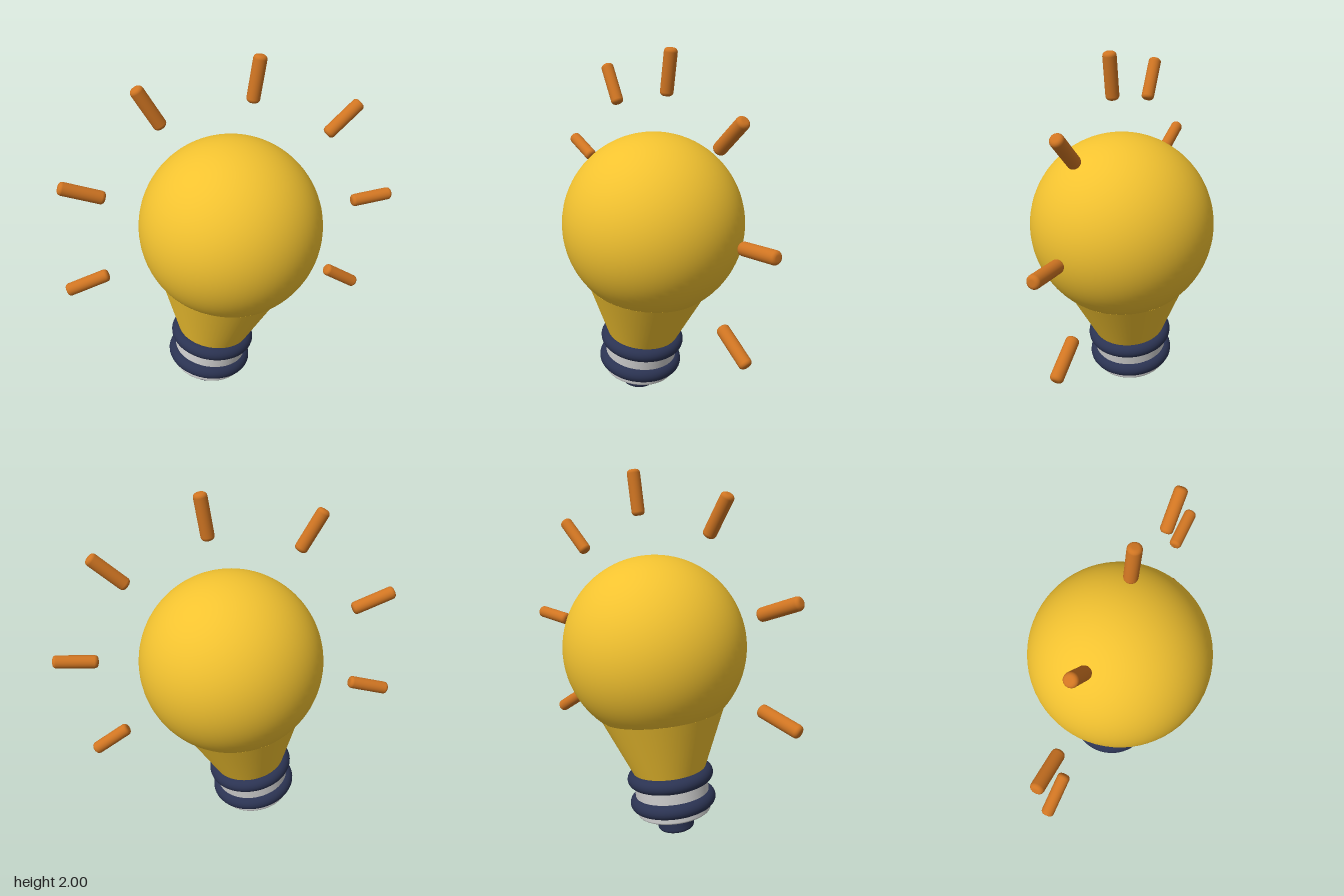
import * as THREE from 'three';

const yellow = new THREE.MeshStandardMaterial({ color: 0xf2c230 });
const orange = new THREE.MeshStandardMaterial({ color: 0xd07522 });
const navy = new THREE.MeshStandardMaterial({ color: 0x2b3352 });
const grey = new THREE.MeshStandardMaterial({ color: 0xcccccc });

function add(parent, name, geometry, material, y = 0) {
  const mesh = new THREE.Mesh(geometry, material);
  mesh.name = name;
  mesh.position.y = y;
  parent.add(mesh);
  return mesh;
}

// Cylinder with rounded rims, centred on its own middle
function roundedCylinder(radius, length, bevel, segments) {
  const points = [new THREE.Vector2(0, -length / 2)];
  for (const end of [-1, 1]) {
    for (let i = 0; i <= 4; i++) {
      const a = ((end < 0 ? i - 4 : i) / 4) * Math.PI / 2;
      points.push(new THREE.Vector2(
        radius - bevel + bevel * Math.cos(a),
        end * (length / 2 - bevel) + bevel * Math.sin(a)
      ));
    }
  }
  points.push(new THREE.Vector2(0, length / 2));
  return new THREE.LatheGeometry(points, segments);
}

export function createModel() {
  const model = new THREE.Group();
  model.name = 'lightBulb';

  // Everything is built around the glass centre, then turned and leaned
  const bulb = new THREE.Group();
  bulb.name = 'leaningBulb';
  bulb.position.set(-0.016, 1.058, 0);
  bulb.rotation.set(0, 0.51, -0.16);
  model.add(bulb);

  // Glass globe and tapering neck
  add(bulb, 'globe', new THREE.SphereGeometry(0.503, 64, 48), yellow);
  add(bulb, 'neck', new THREE.CylinderGeometry(0.346, 0.206, 0.335, 64), yellow, -0.5325);

  // Screw base with two thread rings and a contact tip
  add(bulb, 'screwBase', roundedCylinder(0.209, 0.262, 0.012, 64), grey, -0.823);
  for (const y of [-0.738, -0.88]) {
    const ring = add(bulb, 'threadRing', new THREE.TorusGeometry(0.202, 0.042, 20, 64), navy, y);
    ring.rotation.x = Math.PI / 2;
  }
  add(bulb, 'contactTip', roundedCylinder(0.103, 0.16, 0.02, 48), navy, -0.977);

  // Seven light rays fanned around the globe
  const rayGeometry = roundedCylinder(0.035, 0.24, 0.02, 24);
  for (let i = -3; i <= 3; i++) {
    const spoke = new THREE.Group();
    spoke.name = 'raySpoke';
    spoke.rotation.z = THREE.MathUtils.degToRad(i * 38.33);
    bulb.add(spoke);
    add(spoke, 'lightRay', rayGeometry, orange, 0.834);
  }
  return model;
}
